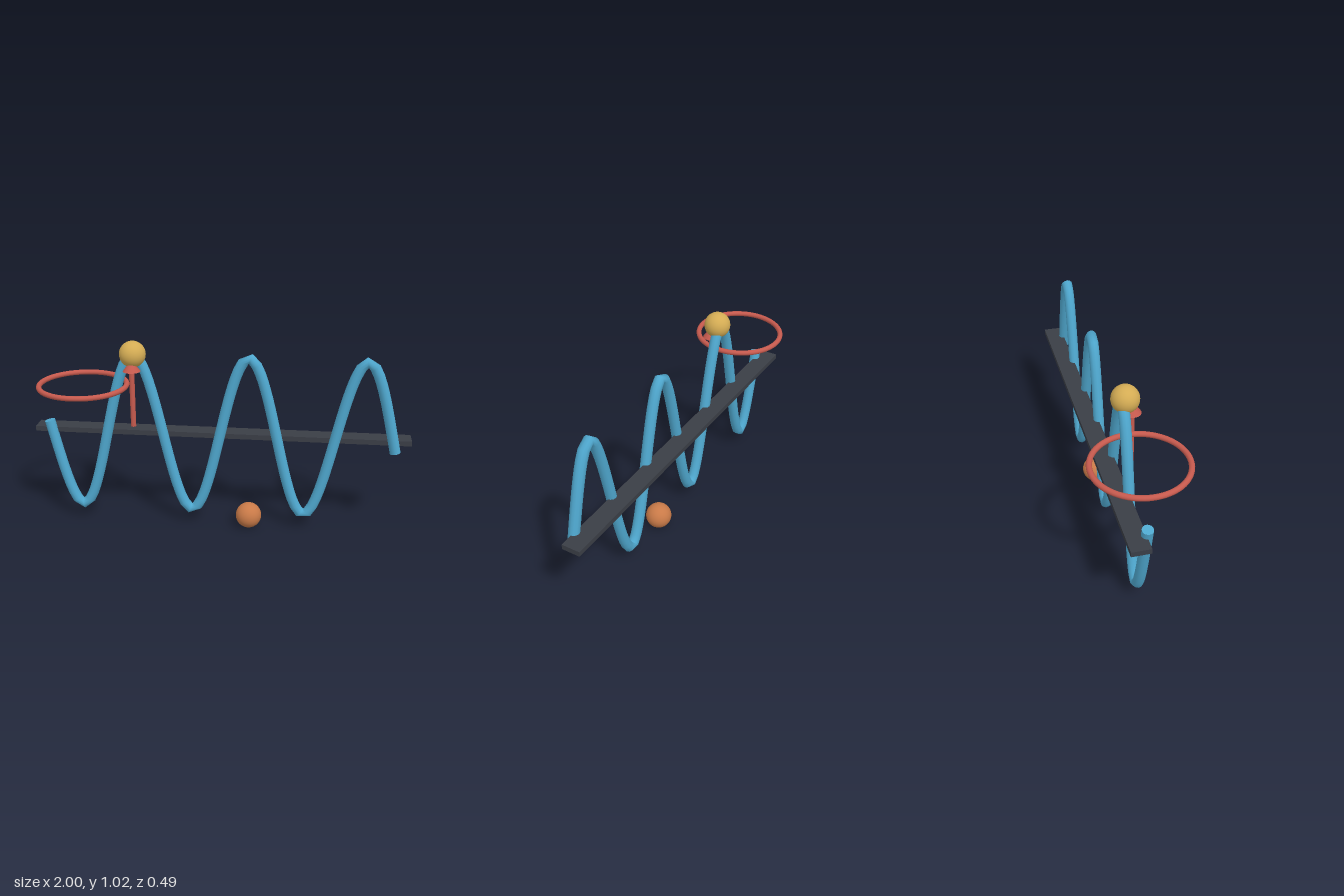
import * as THREE from 'three';

const material = (name, color, side = THREE.FrontSide) => {
  const m = new THREE.MeshStandardMaterial({ color, side });
  m.name = name;
  return m;
};

// Sine wave centred on the bar
class WaveCurve extends THREE.Curve {
  getPoint(t, target = new THREE.Vector3()) {
    const x = (t * 2 - 1) * 0.918;
    return target.set(x, 0.515 + 0.43 * Math.sin(10.4 * x), -0.016);
  }
}

export function createModel() {
  const model = new THREE.Group();
  model.name = 'waveModel';

  const blue = material('blue', 0x4fa8cf, THREE.DoubleSide);
  const charcoal = material('charcoal', 0x3a3e46);
  const red = material('red', 0xc65a4e);
  const gold = material('gold', 0xd4ac54);
  const copper = material('copper', 0xc97a48);

  const add = (name, geometry, mat, x, y, z, parent = model) => {
    const mesh = new THREE.Mesh(geometry, mat);
    mesh.name = name;
    mesh.position.set(x, y, z);
    parent.add(mesh);
    return mesh;
  };

  // Axis bar behind the wave
  add('axisBar', new THREE.BoxGeometry(2, 0.027, 0.097), charcoal, 0, 0.515, -0.0665);

  // Wave tube with closed ends
  const curve = new WaveCurve();
  const radius = 0.028;
  add('waveTube', new THREE.TubeGeometry(curve, 120, radius, 12, false), blue, 0, 0, 0);
  for (const end of [0, 1]) {
    const p = curve.getPointAt(end);
    const outward = curve.getTangentAt(end).multiplyScalar(end ? 1 : -1);
    const cap = add('waveEndCap', new THREE.CircleGeometry(radius, 12), blue, p.x, p.y, p.z);
    cap.quaternion.setFromUnitVectors(new THREE.Vector3(0, 0, 1), outward);
  }

  // Balls at the crest and below the wave
  const ball = new THREE.SphereGeometry(0.069, 32, 20);
  add('crestBall', ball, gold, -0.45, 0.954, 0);
  add('lowerBall', ball, copper, 0.16, 0.07, 0);

  // Horizontal ring
  const ring = add('ring', new THREE.TorusGeometry(0.229, 0.014, 12, 64), red, -0.72, 0.778, 0);
  ring.rotation.x = Math.PI / 2;

  // Upward arrow
  const arrow = new THREE.Group();
  arrow.name = 'arrow';
  arrow.position.set(-0.45, 0, 0.033);
  model.add(arrow);
  add('arrowShaft', new THREE.CylinderGeometry(0.014, 0.014, 0.293, 16), red, 0, 0.7185, 0, arrow);
  add('arrowHead', new THREE.ConeGeometry(0.046, 0.06, 16), red, 0, 0.902, 0, arrow);

  return model;
}
